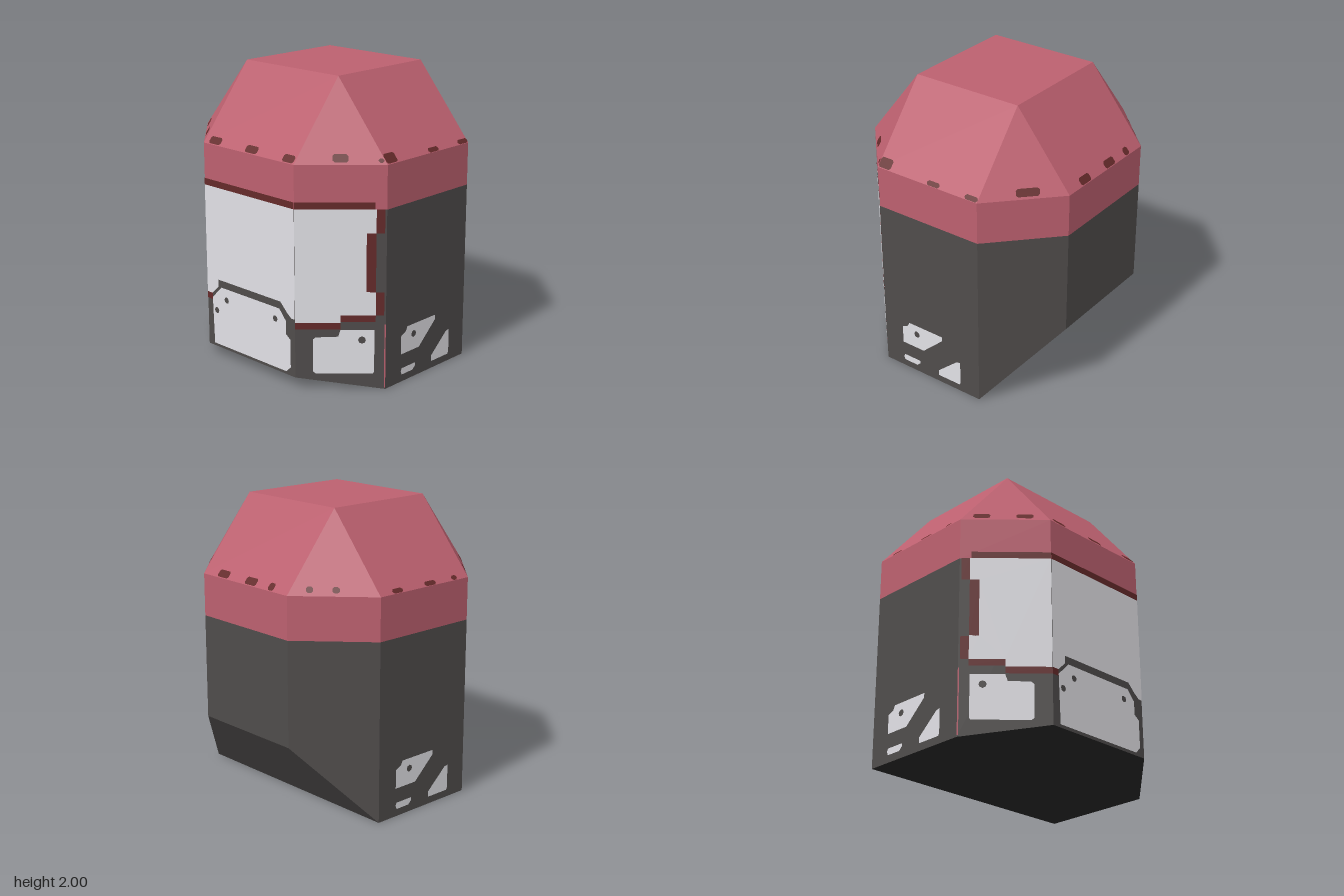
import * as THREE from 'three';

const material = (name, color) => new THREE.MeshStandardMaterial({ name, color });

// Octagonal plan, walked from the front face round to the left (+x) side: [x, z, lower y]
const RING = [
  [-0.4, 0.84, 0], [0.4, 0.84, 0], [0.8, 0.42, 0.5], [0.8, -0.42, 0.5],
  [0.4, -0.84, 0], [-0.4, -0.84, 0], [-0.8, -0.42, 0.08], [-0.8, 0.42, 0.08],
];
const HEM = 1.213, SHOULDER = 1.5, TOP = 2;
const at = (i, y) => new THREE.Vector3(RING[i % 8][0], y, RING[i % 8][1]);
const foot = (i) => at(i, RING[i % 8][2]);
const crown = (i) => new THREE.Vector3(Math.sign(RING[i % 8][0]) * 0.4, TOP, Math.sign(RING[i % 8][1]) * 0.42);

// Flat-faced surface from convex polygons
function faceted(name, mat, polygons) {
  const pos = [];
  for (const p of polygons)
    for (let k = 1; k < p.length - 1; k++)
      for (const v of [p[0], p[k], p[k + 1]]) pos.push(v.x, v.y, v.z);
  const geo = new THREE.BufferGeometry();
  geo.setAttribute('position', new THREE.Float32BufferAttribute(pos, 3));
  geo.computeVertexNormals();
  const mesh = new THREE.Mesh(geo, mat);
  mesh.name = name;
  return mesh;
}

// Drawing plane on a wall (y from the ground) or on a roof slope (y from the shoulder)
function plane(side, roof) {
  const a = at(side, 0), b = at(side + 1, 0);
  const u = b.clone().sub(a).normalize();
  const origin = a.add(b).multiplyScalar(0.5);
  const v = new THREE.Vector3(0, 1, 0);
  if (roof) {
    origin.y = SHOULDER;
    v.copy(crown(side)).add(crown(side + 1)).multiplyScalar(0.5).sub(origin).normalize();
  }
  const n = u.clone().cross(v);
  return new THREE.Matrix4().makeBasis(u, v, n).setPosition(origin.addScaledVector(n, 0.0025));
}

// Painted plate with optional round holes [x, y, radius]
function plate(name, mat, side, points, holes = [], roof = false) {
  const shape = new THREE.Shape(points.map(([x, y]) => new THREE.Vector2(x, y)));
  for (const [x, y, r] of holes) shape.holes.push(new THREE.Path().absarc(x, y, r, 0, Math.PI * 2, true));
  const mesh = new THREE.Mesh(new THREE.ShapeGeometry(shape, 4).applyMatrix4(plane(side, roof)), mat);
  mesh.name = name;
  return mesh;
}

const rect = (x0, x1, y0, y1) => [[x0, y0], [x1, y0], [x1, y1], [x0, y1]];

export function createModel() {
  const red = material('dusty red', 0xbc606f);
  const dark = material('charcoal', 0x4f4c4b);
  const black = material('near black', 0x252525);
  const pale = material('pale grey', 0xe1e0e5);
  const maroon = material('maroon', 0x642a2a);
  const model = new THREE.Group();
  model.name = 'facetedCapsule';

  // Charcoal body with a sloped left underside and a black base
  const walls = [], band = [], slopes = [];
  for (let i = 0; i < 8; i++) {
    walls.push([foot(i), foot(i + 1), at(i + 1, HEM), at(i, HEM)]);
    band.push([at(i, HEM), at(i + 1, HEM), at(i + 1, SHOULDER), at(i, SHOULDER)]);
    const slope = [at(i, SHOULDER), at(i + 1, SHOULDER), crown(i + 1)];
    if (i % 2 === 0) slope.push(crown(i));
    slopes.push(slope);
  }
  model.add(faceted('body', dark, [...walls, [1, 4, 3, 2].map(foot)]));
  model.add(faceted('base', black, [[0, 5, 4, 1].map(foot), [0, 7, 6, 5].map(foot)]));

  // Red cap
  model.add(faceted('capBand', red, band));
  model.add(faceted('capRoof', red, [...slopes, [0, 1, 4, 5].map(crown)]));

  // Spots along the cap shoulder: [side, centre, width, height, gap above the shoulder]
  const spots = [
    [0, -0.35, 0.1, 0.07, 0.005], [0, 0.05, 0.1, 0.033, 0.002], [0, 0.35, 0.1, 0.033, 0.002],
    [1, 0.03, 0.15, 0.052, 0.016],
    [2, -0.225, 0.11, 0.053, 0.005], [2, 0.055, 0.11, 0.053, 0.005], [2, 0.255, 0.055, 0.053, 0.005],
    [3, -0.15, 0.045, 0.042, 0.02], [3, 0.015, 0.045, 0.042, 0.02],
    [4, -0.245, 0.09, 0.033, 0.002], [4, 0.05, 0.1, 0.033, 0.002], [4, 0.275, 0.05, 0.033, 0.002],
    [5, -0.155, 0.11, 0.052, 0.016], [5, 0.125, 0.11, 0.052, 0.016],
    [6, -0.32, 0.11, 0.053, 0.005], [6, 0.025, 0.11, 0.053, 0.005], [6, 0.36, 0.1, 0.053, 0.005],
    [7, 0, 0.1, 0.052, 0.016], [7, 0.252, 0.036, 0.03, 0.012],
  ];
  for (const [side, c, w, h, y] of spots) {
    const k = 0.012, l = c - w / 2, r = c + w / 2;
    model.add(plate('shoulderSpot', maroon, side, [
      [l + k, y], [r - k, y], [r, y + k], [r, y + h - k], [r - k, y + h],
      [l + k, y + h], [l, y + h - k], [l, y + k],
    ], [], true));
  }

  // Pale marks low on the front and back
  for (const side of [0, 4]) {
    model.add(plate('largeMark', pale, side,
      [[-0.25, 0.195], [-0.07, 0.195], [0.095, 0.345], [0.095, 0.375], [-0.19, 0.375], [-0.205, 0.345], [-0.25, 0.325]],
      [[-0.125, 0.305, 0.024]]));
    model.add(plate('smallMark', pale, side,
      [[-0.24, 0.05], [-0.13, 0.05], [-0.105, 0.075], [-0.105, 0.095], [-0.24, 0.095], [-0.25, 0.075]]));
    model.add(plate('triangleMark', pale, side,
      [[0.06, 0.05], [0.235, 0.05], [0.245, 0.065], [0.245, 0.23], [0.215, 0.225], [0.06, 0.09]]));
  }

  // Windows on the two right-hand corners, mirrored front to back
  for (const [side, m] of [[7, 1], [5, -1]]) {
    const across = (points) => points.map(([x, y]) => [m * (x + 0.6) * 1.45, y]);
    model.add(plate('cornerWindow', pale, side, across([
      [-0.8, 0.46], [-0.6, 0.46], [-0.6, 0.51], [-0.445, 0.51], [-0.445, 0.67],
      [-0.487, 0.67], [-0.487, 1.06], [-0.445, 1.06], [-0.445, 1.215], [-0.8, 1.215],
    ])));
    const trim = [
      [-0.8, -0.45, 1.215, 1.26], [-0.445, -0.408, 1.06, 1.215], [-0.487, -0.445, 0.665, 1.06],
      [-0.445, -0.408, 0.51, 0.665], [-0.6, -0.445, 0.465, 0.51], [-0.8, -0.6, 0.415, 0.46],
    ];
    for (const t of trim) model.add(plate('windowTrim', maroon, side, across(rect(...t))));
    model.add(plate('cornerPanel', pale, side, across([
      [-0.71, 0.11], [-0.455, 0.11], [-0.45, 0.125], [-0.45, 0.41], [-0.6, 0.41],
      [-0.61, 0.365], [-0.71, 0.36], [-0.722, 0.345], [-0.722, 0.125],
    ]), [[m * 0.138, 0.342, 0.025]]));
    model.add(plate('cornerSeam', red, side, across(rect(-0.406, -0.4, 0.01, 0.45))));
  }

  // Right-hand side window and lower panel
  model.add(plate('sideWindow', pale, 6, [
    [-0.42, 0.46], [-0.37, 0.46], [-0.31, 0.52], [-0.31, 0.57], [0.29, 0.57],
    [0.35, 0.51], [0.39, 0.48], [0.42, 0.48], [0.42, 1.215], [-0.42, 1.215],
  ]));
  model.add(plate('sideWindowTrim', maroon, 6, rect(-0.42, 0.42, 1.215, 1.26)));
  model.add(plate('sideWindowSill', maroon, 6, rect(-0.42, -0.37, 0.415, 0.46)));
  model.add(plate('sidePanel', pale, 6, [
    [-0.36, 0.1], [0.34, 0.1], [0.38, 0.14], [0.38, 0.33], [0.34, 0.36],
    [0.34, 0.45], [0.28, 0.52], [-0.28, 0.52], [-0.37, 0.43],
  ], [[-0.23, 0.44, 0.022], [-0.33, 0.345, 0.022], [0.24, 0.44, 0.022]]));
  return model;
}
